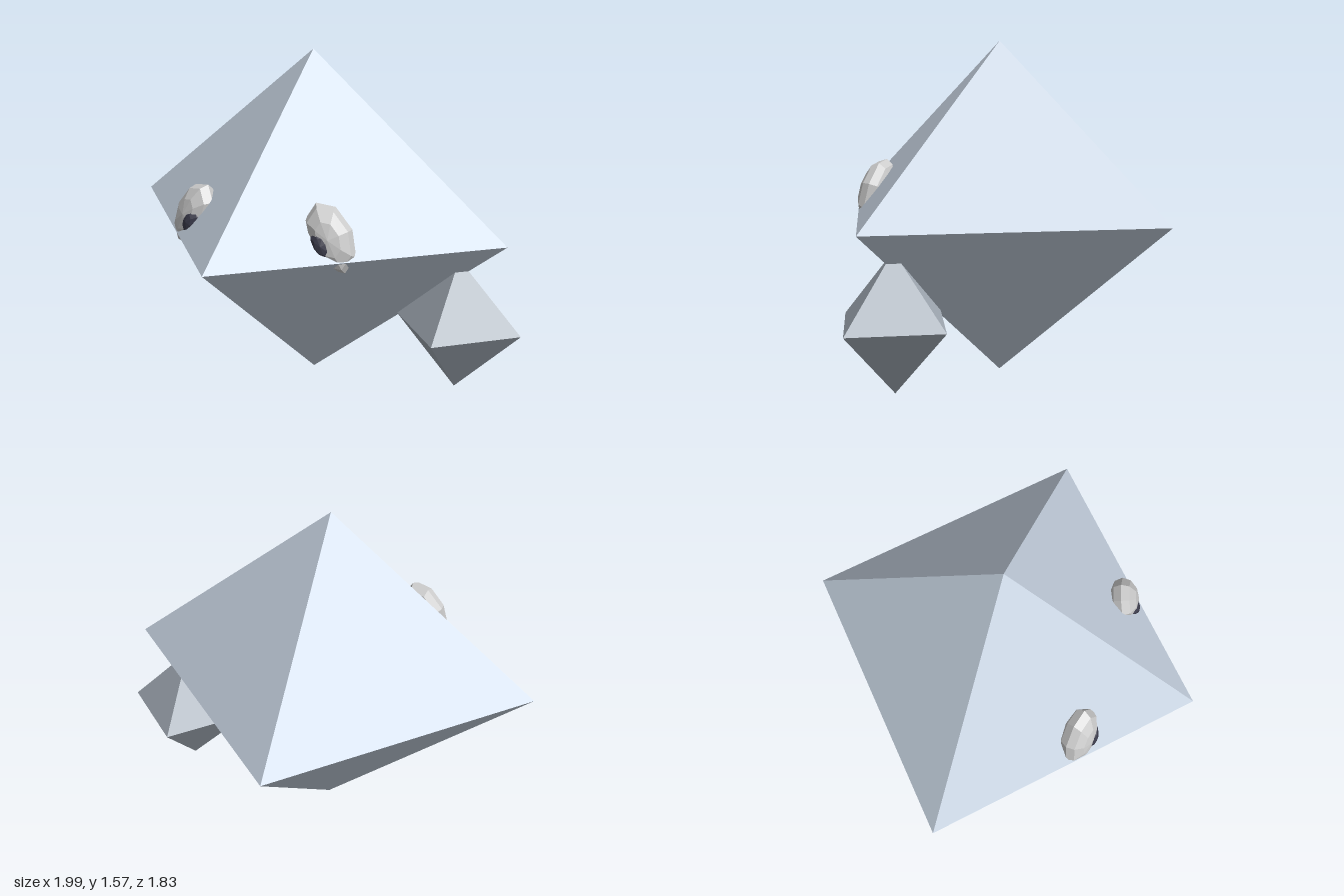
import * as THREE from 'three';

const flat = (color) => new THREE.MeshStandardMaterial({ color, flatShading: true });

function addPart(parent, name, geometry, material, position, scale) {
  const mesh = new THREE.Mesh(geometry, material);
  mesh.name = name;
  mesh.position.set(...position);
  mesh.scale.set(...scale);
  parent.add(mesh);
  return mesh;
}

export function createModel() {
  const model = new THREE.Group();
  model.name = 'crystalCreature';

  const gem = new THREE.OctahedronGeometry(1);
  // Low-poly ball with its poles facing front and back
  const ball = new THREE.SphereGeometry(1, 8, 6).rotateX(Math.PI / 2);
  const eyeWhite = flat(0xcccccc);
  const pupilDark = flat(0x3c3c4c);
  const bodyX = -0.045;

  // Large body and the small crystal joined to its lower left flank
  addPart(model, 'body', gem, flat(0xc4d0de), [bodyX, 0.783, 0], [0.955, 0.783, 0.917]);
  addPart(model, 'sideCrystal', gem, flat(0xa3acb6), [0.692, 0.38, 0], [0.302, 0.31, 0.292]);

  // Tilted eyes, mirrored about the middle of the body and partly sunk into it
  for (const [side, label] of [[1, 'left'], [-1, 'right']]) {
    const eye = new THREE.Group();
    eye.name = label + 'Eye';
    model.add(eye);
    const white = addPart(eye, label + 'Eyeball', ball, eyeWhite,
      [bodyX + side * 0.343, 0.868, 0.47], [0.1, 0.16, 0.073]);
    const pupil = addPart(eye, label + 'Pupil', ball, pupilDark,
      [bodyX + side * 0.324, 0.845, 0.508], [0.048, 0.075, 0.05]);
    for (const part of [white, pupil]) {
      part.rotation.set(-0.18, side * 0.3, side * 0.43, 'YXZ');
    }
  }

  return model;
}
